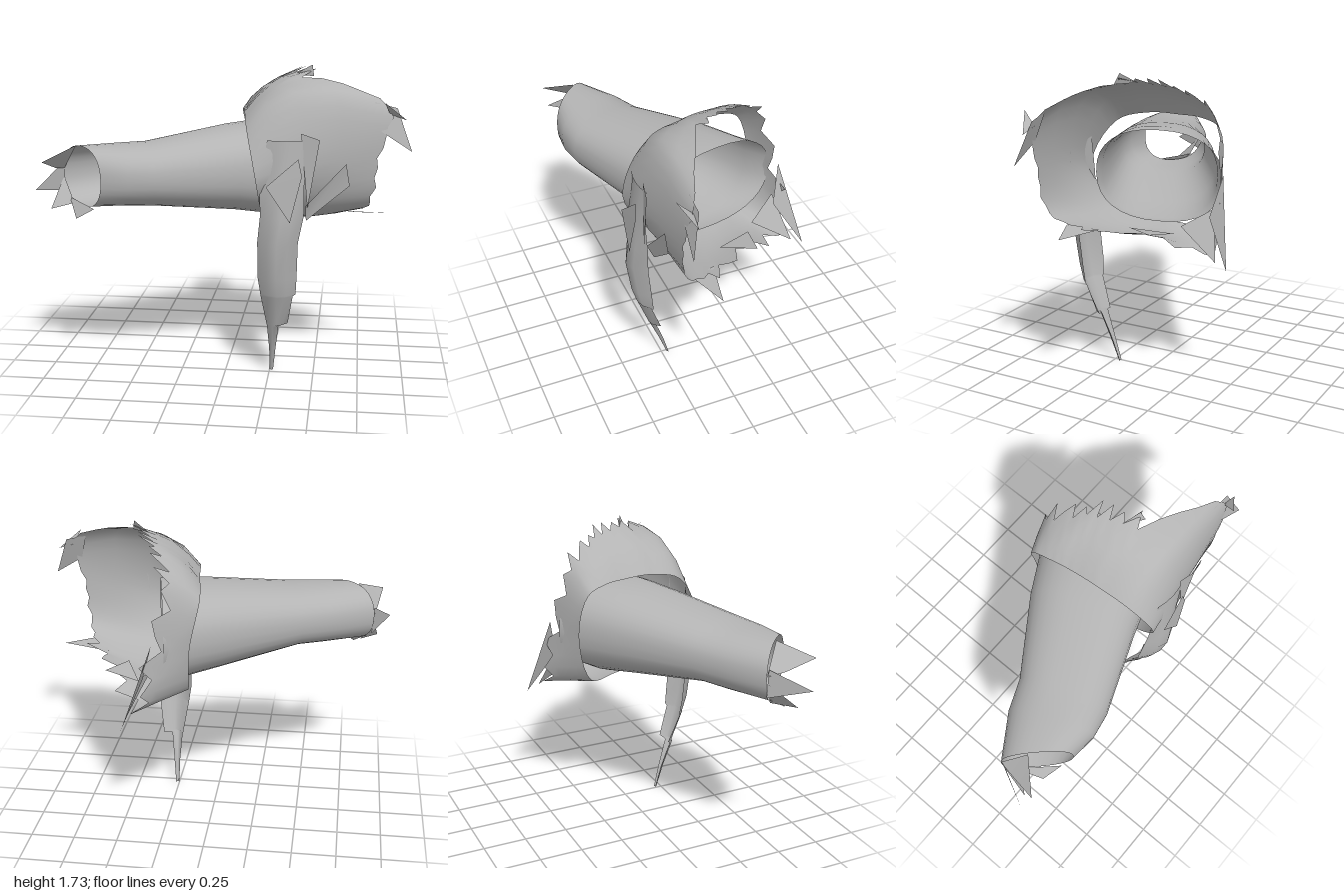
import * as THREE from 'three';

const cloth = new THREE.MeshStandardMaterial({ color: 0xb4b4b4, side: THREE.DoubleSide });
cloth.name = 'greyCloth';

const V = (p) => new THREE.Vector3(...p);

// Skin a list of point rows; closed rows share their seam vertices
function loft(name, rows, closed) {
  const n = rows[0].length;
  const index = [];
  for (let r = 0; r < rows.length - 1; r++) {
    for (let i = 0; i < (closed ? n : n - 1); i++) {
      const a = r * n + i, b = r * n + (i + 1) % n, c = a + n, d = b + n;
      index.push(a, b, c, b, d, c);
    }
  }
  const g = new THREE.BufferGeometry().setFromPoints(rows.flat());
  g.setIndex(index);
  g.computeVertexNormals();
  const mesh = new THREE.Mesh(g, cloth);
  mesh.name = name;
  return mesh;
}

// A torn pointed scrap
function scrap(name, ...pts) {
  const g = new THREE.BufferGeometry().setFromPoints(pts.map(V));
  const index = [];
  for (let i = 1; i < pts.length - 1; i++) index.push(0, i, i + 1);
  g.setIndex(index);
  g.computeVertexNormals();
  const mesh = new THREE.Mesh(g, cloth);
  mesh.name = name;
  return mesh;
}

// Sleeve: slightly squared oval sections given as back x,z, front x,z, low y, high y
function sleeve() {
  const sections = [
    [-0.9, 0.27, -0.63, 0.54, 0.98, 1.31],
    [-0.67, 0.12, -0.48, 0.555, 0.985, 1.315],
    [-0.5, 0.05, -0.34, 0.53, 0.98, 1.32],
    [-0.1, -0.22, 0.1, 0.36, 0.92, 1.39],
    [0.1, -0.33, 0.28, 0.3, 0.885, 1.41],
    [0.22, -0.42, 0.36, 0.29, 0.9, 1.41],
  ];
  const soft = (v) => Math.sign(v) * Math.abs(v) ** 0.85;
  const rows = sections.map(([bx, bz, fx, fz, lo, hi]) => {
    const row = [];
    for (let i = 0; i < 32; i++) {
      const a = (i / 32) * Math.PI * 2, t = 0.5 + 0.5 * soft(Math.cos(a));
      row.push(new THREE.Vector3(
        bx + (fx - bx) * t, (lo + hi) / 2 + (hi - lo) / 2 * soft(Math.sin(a)), bz + (fz - bz) * t));
    }
    return row;
  });
  return loft('sleeve', rows, true);
}

// Flared torn collar: each station is inner edge, middle, outer edge
function collar() {
  const stations = [
    [[0.07, 1.46, -0.08], [0.2, 1.6, -0.08], [0.38, 1.69, -0.07]],
    [[0.09, 1.46, 0.1], [0.25, 1.61, 0.11], [0.45, 1.68, 0.1]],
    [[0.12, 1.4, 0.3], [0.4, 1.58, 0.31], [0.88, 1.53, 0.32]],
    [[0.18, 1.16, 0.43], [0.45, 1.23, 0.4], [0.83, 1.27, 0.35]],
    [[0.2, 0.96, 0.31], [0.45, 0.98, 0.3], [0.79, 1.02, 0.31]],
    [[0.2, 0.89, 0.1], [0.45, 0.88, 0.1], [0.72, 0.94, 0.12]],
    [[0.16, 0.87, -0.1], [0.34, 0.85, -0.12], [0.54, 0.9, -0.14]],
    [[0.11, 0.87, -0.27], [0.23, 0.84, -0.35], [0.37, 0.8, -0.44]],
    [[0.09, 1.15, -0.35], [0.17, 1.15, -0.39], [0.28, 1.15, -0.43]],
    [[0.04, 1.4, -0.31], [0.12, 1.46, -0.33], [0.22, 1.53, -0.35]],
    [[0.05, 1.45, -0.2], [0.15, 1.56, -0.21], [0.3, 1.64, -0.21]],
  ];
  const n = 55;
  const rows = [0, 1, 2].map((k) => {
    const curve = new THREE.CatmullRomCurve3(stations.map((s) => V(s[k])), true);
    return Array.from({ length: n }, (_, i) => curve.getPoint(i / n));
  });
  // Ragged outer edge, calmer along the front
  const tear = [0.04, -0.05, 0.02, -0.03, 0.06, -0.05, 0.0];
  rows[2].forEach((p, i) => {
    const out = p.clone().sub(rows[1][i]).normalize();
    p.addScaledVector(out, tear[i % tear.length] * (p.z > 0.2 ? 0.2 : 1));
  });
  // Rounded steps between the inner edge and the outer edge
  const steps = [0, 0.25, 0.5, 0.75, 1].map((t) => rows[0].map((p, i) => {
    const m = rows[1][i], e = rows[2][i];
    const c = m.clone().multiplyScalar(2).sub(p.clone().add(e).multiplyScalar(0.5));
    return new THREE.QuadraticBezierCurve3(p, c, e).getPoint(t);
  }));
  return loft('collar', steps, true);
}

// Hanging strip: y, left x, right x, z of the middle, backward curl of the edges
function hangingStrip() {
  const rows = [
    [1.36, 0.24, 0.46, 0.415, 0.02],
    [1.12, 0.2, 0.44, 0.44, 0.04],
    [0.95, 0.205, 0.44, 0.46, 0.07],
    [0.8, 0.19, 0.41, 0.47, 0.09],
    [0.6, 0.19, 0.405, 0.44, 0.08],
    [0.5, 0.205, 0.4, 0.41, 0.06],
    [0.49, 0.207, 0.385, 0.405, 0.05],
    [0.31, 0.235, 0.355, 0.34, 0.05],
    [0.3, 0.24, 0.305, 0.335, 0.03],
    [0.14, 0.25, 0.285, 0.27, 0.02],
    [0, 0.25, 0.27, 0.22, 0.01],
  ].map(([y, l, r, z, curl]) => [-1, -0.5, 0, 0.5, 1].map((u) =>
    new THREE.Vector3((l + r) / 2 + u * (r - l) / 2, y, z - curl * u * u)));
  return loft('hangingStrip', rows, false);
}

export function createModel() {
  const group = new THREE.Group();
  group.name = 'tornSleeve';
  group.add(sleeve(), collar(), hangingStrip());

  // Torn points at the cuff
  group.add(
    scrap('cuffPoint', [-0.8, 1.31, 0.38], [-0.9, 1.16, 0.27], [-0.92, 1.18, 0.37], [-0.95, 1.24, 0.53]),
    scrap('cuffPoint', [-0.9, 1.2, 0.28], [-0.89, 1.04, 0.28], [-1, 1.08, 0.49]),
    scrap('cuffPoint', [-0.9, 1.12, 0.28], [-0.83, 0.98, 0.34], [-0.93, 0.97, 0.45]),
    scrap('cuffPoint', [-0.86, 1.01, 0.32], [-0.68, 0.985, 0.5], [-0.79, 0.92, 0.46]),
  );

  // Torn points around the collar
  group.add(
    scrap('collarPoint', [0.8, 1.56, 0.31], [0.92, 1.53, 0.31], [1, 1.31, 0.37], [0.84, 1.41, 0.35]),
    scrap('collarPoint', [0.36, 1.67, 0.02], [0.47, 1.67, 0.1], [0.46, 1.73, 0.07]),
    scrap('collarPoint', [0.85, 1.57, 0.4], [0.97, 1.47, 0.33], [0.88, 1.5, 0.32]),
    scrap('collarPoint', [0.72, 0.95, 0.25], [0.64, 0.92, 0.1], [0.92, 0.93, 0.17]),
    scrap('collarPoint', [0.5, 0.91, 0.0], [0.4, 0.88, -0.22], [0.6, 0.92, -0.18]),
    scrap('collarPoint', [0.28, 1.2, -0.45], [0.34, 0.98, -0.4], [0.44, 0.73, -0.55]),
    scrap('collarPoint', [0.38, 0.92, -0.25], [0.3, 1.02, -0.41], [0.43, 0.765, -0.48]),
  );

  // Loose folds on the front
  group.add(
    scrap('frontFold', [0.24, 1.12, 0.46], [0.37, 0.93, 0.47], [0.43, 1.18, 0.45], [0.41, 1.27, 0.44]),
    scrap('frontFold', [0.42, 1.4, 0.4], [0.46, 1.0, 0.42], [0.52, 1.37, 0.42]),
    scrap('frontFold', [0.45, 0.92, 0.36], [0.68, 1.12, 0.37], [0.66, 1.24, 0.38], [0.45, 1.01, 0.4]),
  );
  return group;
}
